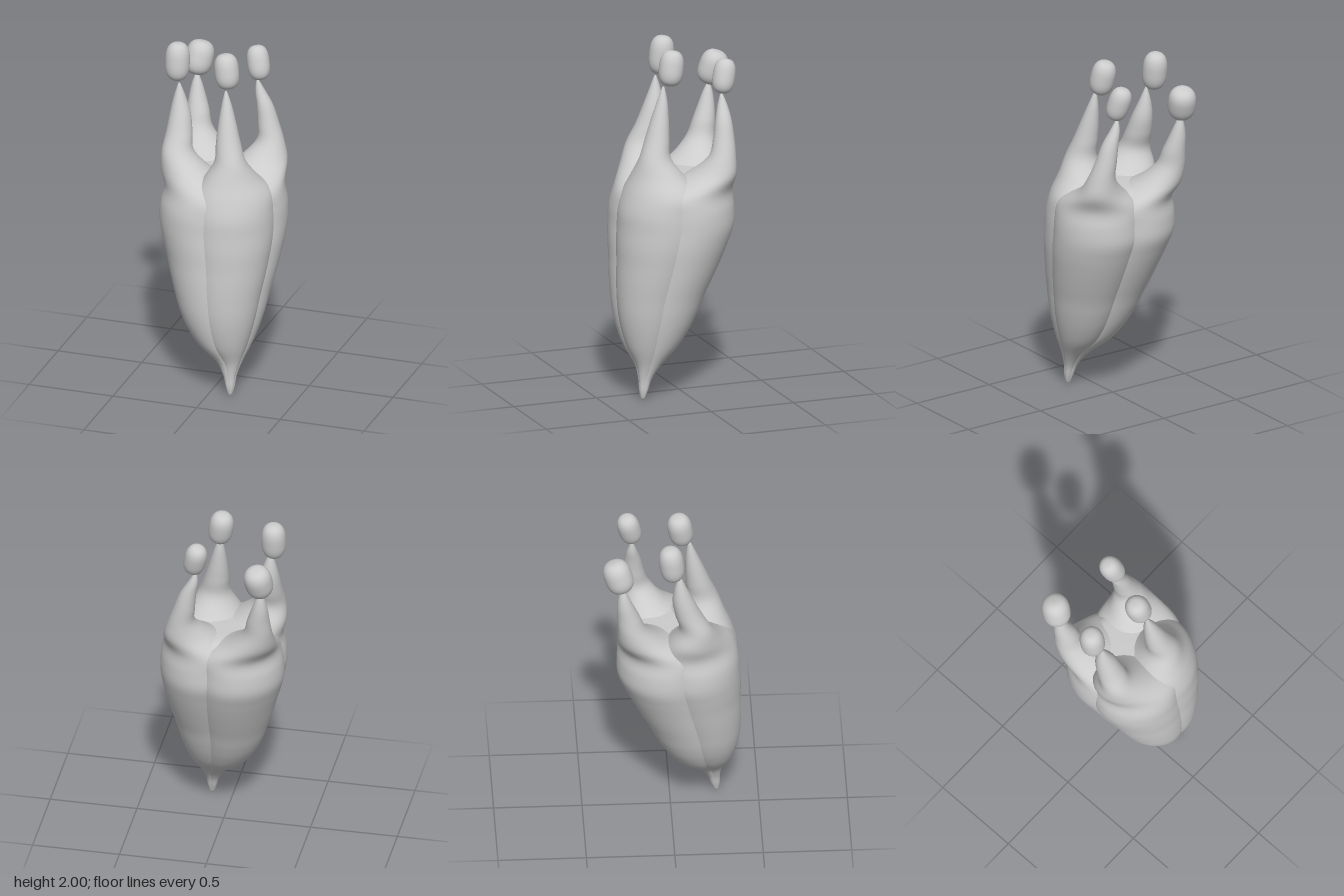
import * as THREE from 'three';

const material = new THREE.MeshStandardMaterial({ color: 0xcccccc });
const V = (x, y, z) => new THREE.Vector3(x, y, z);

// Bud axis: height, centre x, centre z, radius
const AXIS = [
  [0.006, 0.12, 0.265, 0.012], [0.05, 0.118, 0.26, 0.026], [0.12, 0.112, 0.248, 0.041],
  [0.2, 0.1, 0.225, 0.08], [0.3, 0.064, 0.195, 0.16], [0.4, 0.045, 0.174, 0.213],
  [0.5, 0.034, 0.156, 0.25], [0.6, 0.027, 0.137, 0.277], [0.7, 0.022, 0.113, 0.304],
  [0.8, 0.017, 0.088, 0.328], [0.9, 0.01, 0.066, 0.351], [1.0, 0.001, 0.045, 0.367],
  [1.1, 0, 0.04, 0.364], [1.2, 0, 0.03, 0.345],
];

// Each petal: direction (degrees from +x towards +z), fullness, shoulder half axes,
// horn path [x, y, z, radius], and the pod floating on its tip (bottom, top, radius)
const PETALS = [
  { name: 'frontLeft', angle: 51, full: 0.98, shoulder: [0.135, 0.155],
    horn: [[0.09, 1.4, 0.18, 0.09], [0.073, 1.5, 0.16, 0.071], [0.06, 1.6, 0.14, 0.054], [0.049, 1.71, 0.12, 0.031], [0.041, 1.79, 0.11, 0.008]],
    pod: [V(0.042, 1.795, 0.073), V(0.012, 1.995, 0.04), 0.07] },
  { name: 'frontRight', angle: 133, full: 1, shoulder: [0.138, 0.162],
    horn: [[-0.24, 1.4, 0.13, 0.092], [-0.245, 1.5, 0.09, 0.075], [-0.249, 1.6, 0.06, 0.06], [-0.257, 1.69, 0.045, 0.036], [-0.262, 1.77, 0.04, 0.008]],
    pod: [V(-0.288, 1.775, 0.006), V(-0.29, 1.997, -0.02), 0.07] },
  { name: 'backLeft', angle: -32, full: 1.01, shoulder: [0.142, 0.128],
    horn: [[0.205, 1.4, -0.183, 0.079], [0.187, 1.5, -0.2, 0.061], [0.164, 1.6, -0.207, 0.047], [0.135, 1.68, -0.212, 0.029], [0.12, 1.74, -0.212, 0.008]],
    pod: [V(0.138, 1.75, -0.205), V(0.098, 1.94, -0.25), 0.064] },
  { name: 'backRight', angle: -135, full: 1.03, shoulder: [0.135, 0.142],
    horn: [[-0.24, 1.4, -0.225, 0.084], [-0.25, 1.5, -0.25, 0.064], [-0.26, 1.58, -0.268, 0.047], [-0.266, 1.65, -0.279, 0.028], [-0.268, 1.7, -0.285, 0.008]],
    pod: [V(-0.275, 1.695, -0.278), V(-0.25, 1.885, -0.338), 0.08] },
];

// Smooth loft of horizontal ellipses; sections are { c: centre, a, b: half axes }
function loft(sections, angle, rows = 110, sides = 56) {
  const centres = new THREE.CatmullRomCurve3(sections.map(s => s.c), false, 'catmullrom', 0.5);
  const sizes = new THREE.CatmullRomCurve3(sections.map(s => V(s.a, s.b, 0)), false, 'catmullrom', 0.5);
  const cos = Math.cos(angle), sin = Math.sin(angle);
  const points = [], index = [];
  for (let i = 0; i <= rows; i++) {
    const c = centres.getPoint(i / rows), s = sizes.getPoint(i / rows);
    for (let j = 0; j < sides; j++) {
      const p = (j / sides) * Math.PI * 2;
      const u = s.x * Math.cos(p), v = s.y * Math.sin(p);
      points.push(c.x + u * cos - v * sin, c.y, c.z + u * sin + v * cos);
      if (i === rows) continue;
      const k = i * sides + j, n = i * sides + ((j + 1) % sides);
      index.push(k, k + sides, n, n, k + sides, n + sides);
    }
  }
  const geometry = new THREE.BufferGeometry();
  geometry.setAttribute('position', new THREE.Float32BufferAttribute(points, 3));
  geometry.setIndex(index);
  geometry.computeVertexNormals();
  return geometry;
}

function addMesh(parent, name, geometry) {
  const mesh = new THREE.Mesh(geometry, material);
  mesh.name = name;
  parent.add(mesh);
  return mesh;
}

// One swollen lobe that narrows into a pointed horn
function petalSections(angle, { full, shoulder, horn }) {
  const dx = Math.cos(angle), dz = Math.sin(angle);
  const sections = AXIS.map(([y, x, z, radius]) => {
    const r = radius * full;
    return { c: V(x + 0.42 * r * dx, y, z + 0.42 * r * dz), a: 0.58 * r, b: 0.68 * r };
  });
  const neck = sections[sections.length - 1].c.clone();
  neck.lerp(V(horn[0][0], 1.4, horn[0][2]), 0.64).setY(1.3);
  sections.push({ c: neck, a: shoulder[0], b: shoulder[1] });
  for (const [x, y, z, r] of horn) sections.push({ c: V(x, y, z), a: r, b: r });
  const tip = sections[sections.length - 1].c.clone();
  tip.y += 0.005;
  sections.push({ c: tip, a: 0, b: 0 });
  sections.unshift({ c: V(0.12, 0, 0.265), a: 0, b: 0 });
  return sections;
}

// Barrel-shaped pod: a superellipse turned around its long axis
function podGeometry(radius, halfLength) {
  const profile = [];
  for (let i = 0; i <= 32; i++) {
    const t = (i / 32 - 0.5) * Math.PI, s = Math.sin(t);
    profile.push(new THREE.Vector2(
      radius * Math.max(0, Math.cos(t)) ** 0.74,
      halfLength * Math.sign(s) * Math.abs(s) ** 0.74));
  }
  return new THREE.LatheGeometry(profile, 32);
}

export function createModel() {
  const model = new THREE.Group();
  model.name = 'flowerBud';

  // Inner core filling the space between the petals with a shallow floor
  const core = AXIS.map(([y, x, z, r]) => ({ c: V(x, y, z), a: 0.8 * r, b: 0.8 * r }));
  core.push(
    { c: V(0, 1.255, 0.015), a: 0.235, b: 0.235 },
    { c: V(0, 1.282, 0.005), a: 0.16, b: 0.16 },
    { c: V(0, 1.287, 0), a: 0, b: 0 });
  addMesh(model, 'core', loft(core, 0));

  for (const petal of PETALS) {
    const group = new THREE.Group();
    group.name = petal.name + 'Petal';
    model.add(group);
    const direction = THREE.MathUtils.degToRad(petal.angle);
    addMesh(group, 'lobe', loft(petalSections(direction, petal), direction));

    // Pod resting on the horn tip, leaning along its own axis
    const [bottom, top, radius] = petal.pod;
    const axis = top.clone().sub(bottom);
    const mesh = addMesh(group, 'tipPod', podGeometry(radius, axis.length() / 2));
    mesh.position.copy(bottom).add(top).multiplyScalar(0.5);
    mesh.quaternion.setFromUnitVectors(V(0, 1, 0), axis.normalize());
  }
  return model;
}
